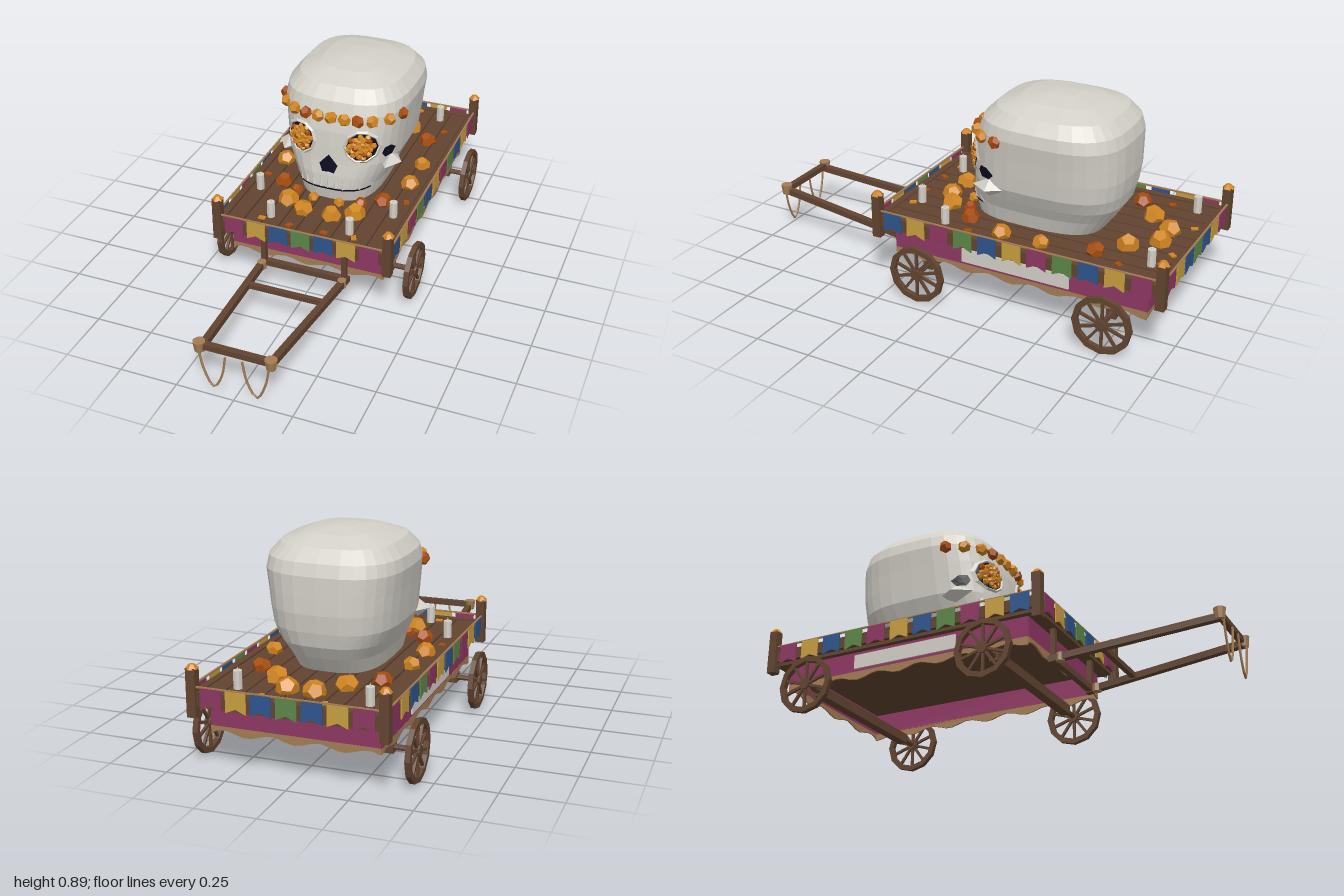
import * as THREE from 'three';

const mat = (name, color) => Object.assign(new THREE.MeshStandardMaterial({ color }), { name });
const wood = mat('wood', 0x624430), tan = mat('tan', 0xa37c53), bone = mat('bone', 0xd3d0c7);
const magenta = mat('magenta', 0x8f3763), blue = mat('blue', 0x2d558e), green = mat('green', 0x5c8748);
const gold = mat('gold', 0xc89f40), orange = mat('orange', 0xd0851f), rust = mat('rust', 0xa94d10);
const navy = mat('navy', 0x0b0b20);

// Faceted mesh added to a parent
function add(parent, name, geo, material, x = 0, y = 0, z = 0) {
  const g = geo.index ? geo.toNonIndexed() : geo;
  g.computeVertexNormals();
  const m = new THREE.Mesh(g, material);
  m.name = name;
  m.position.set(x, y, z);
  parent.add(m);
  return m;
}
const box = (p, name, m, w, h, d, x, y, z) => add(p, name, new THREE.BoxGeometry(w, h, d), m, x, y, z);

// Square beam between two points
function beam(p, name, m, a, b, t) {
  const A = new THREE.Vector3(...a), B = new THREE.Vector3(...b);
  const o = add(p, name, new THREE.BoxGeometry(t, t, A.distanceTo(B)), m);
  o.position.copy(A).add(B).multiplyScalar(0.5);
  o.lookAt(B);
  return o;
}
const shapeOf = pts => new THREE.Shape(pts.map(q => new THREE.Vector2(...q)));
const plate = (pts, depth = 0.005) =>
  new THREE.ExtrudeGeometry(shapeOf(pts), { depth, bevelEnabled: false });

// Skull sections: height, half width, front z, back z
const rows = [
  [0.33, 0.18, -0.015, -0.58], [0.4, 0.2, 0, -0.63], [0.455, 0.228, -0.003, -0.665],
  [0.515, 0.256, -0.012, -0.68], [0.59, 0.265, -0.018, -0.69], [0.66, 0.273, -0.025, -0.69],
  [0.74, 0.284, -0.042, -0.688], [0.79, 0.275, -0.06, -0.672], [0.84, 0.232, -0.11, -0.625],
  [0.873, 0.145, -0.2, -0.53], [0.888, 0.05, -0.31, -0.43]];
const POW = 3;

// Front surface depth of the skull at a given x and y
function skullZ(x, y) {
  let i = 0;
  while (i < rows.length - 2 && rows[i + 1][0] < y) i++;
  const t = Math.max(0, (y - rows[i][0]) / (rows[i + 1][0] - rows[i][0]));
  const [w, f, b] = [1, 2, 3].map(k => rows[i][k] + (rows[i + 1][k] - rows[i][k]) * t);
  const r = Math.min(1, Math.abs(x) / w);
  return (f + b) / 2 + (f - b) / 2 * Math.pow(1 - r ** POW, 1 / POW);
}
// Lays a geometry onto the face of the skull
function conform(geo, x, y, lift = 0.004) {
  geo.translate(x, y, 0);
  const p = geo.attributes.position;
  for (let i = 0; i < p.count; i++) p.setZ(i, p.getZ(i) + skullZ(p.getX(i), p.getY(i)) + lift);
  return geo;
}

function skullGeometry() {
  const N = 32, pos = [], idx = [];
  const pw = v => Math.sign(v) * Math.abs(v) ** (2 / POW);
  for (const [y, w, f, b] of rows)
    for (let j = 0; j < N; j++) {
      const a = j / N * Math.PI * 2;
      pos.push(w * pw(Math.cos(a)), y, (f + b) / 2 + (f - b) / 2 * pw(Math.sin(a)));
    }
  for (let i = 0; i < rows.length - 1; i++)
    for (let j = 0; j < N; j++) {
      const k = (j + 1) % N, a = i * N + j, b = i * N + k;
      idx.push(a, a + N, b, b, a + N, b + N);
    }
  const last = (rows.length - 1) * N, c = rows.length * N;
  pos.push(0, 0.33, -0.3, 0, 0.89, -0.37);
  for (let j = 0; j < N; j++) {
    const k = (j + 1) % N;
    idx.push(c, j, k, c + 1, last + k, last + j);
  }
  const g = new THREE.BufferGeometry();
  g.setAttribute('position', new THREE.Float32BufferAttribute(pos, 3));
  g.setIndex(idx);
  return g;
}

function flower(p, name, m, r, x, y, z, n) {
  const f = add(p, name, new THREE.DodecahedronGeometry(r), m, x, y, z);
  f.rotation.set(n * 1.3, n * 2.1, n * 0.7);
  return f;
}

function buildSkull() {
  const s = new THREE.Group();
  s.name = 'skull';
  add(s, 'cranium', skullGeometry(), bone);
  for (const k of [-1, 1]) {
    // Eye sockets filled with small blossoms
    add(s, 'eyeSocket', conform(new THREE.RingGeometry(0.001, 0.068, 10, 4), k * 0.14, 0.607), navy);
    add(s, 'eyeRim', conform(new THREE.TorusGeometry(0.07, 0.008, 4, 10), k * 0.14, 0.607, 0.002), bone);
    for (let i = 0; i < 26; i++) {
      const r = 0.0108 * Math.sqrt(i), a = i * 2.4;
      const x = k * 0.137 + r * Math.cos(a), y = 0.607 + r * Math.sin(a);
      flower(s, 'eyeBlossom', i % 6 === 4 ? rust : orange, 0.015, x, y, skullZ(x, y) + 0.012 - r * 0.2, i);
    }
    // Cheekbone and temple hollow
    add(s, 'cheekbone', new THREE.OctahedronGeometry(1).scale(0.05, 0.04, 0.08), bone, k * 0.235, 0.505, -0.15);
    add(s, 'templeHollow', conform(new THREE.RingGeometry(0.001, 0.028, 6, 2).scale(0.6, 1, 1), k * 0.232, 0.565), navy);
  }
  const nose = new THREE.ShapeGeometry(shapeOf([[0, 0.557], [-0.042, 0.51], [-0.027, 0.472], [0, 0.477], [0.027, 0.472], [0.042, 0.51]]));
  add(s, 'nose', conform(nose, 0, 0, 0.006), navy);
  add(s, 'mouth', conform(new THREE.PlaneGeometry(0.34, 0.009, 16, 1), 0, 0.394, 0.006), navy);
  // Tooth ridges
  for (let i = 0; i < 11; i++) {
    const x = (i - 5) * 0.034;
    add(s, 'toothRidge', conform(new THREE.ConeGeometry(0.008, 0.055 + (i % 2) * 0.01, 4), x, 0.427, 0), bone);
  }
  // Flower crown
  [-0.268, -0.235, -0.177, -0.118, -0.06, 0, 0.06, 0.118, 0.177, 0.235, 0.268].forEach((x, i) =>
    flower(s, 'crownFlower', [0, 3, 7, 10].includes(i) ? rust : orange, 0.029, x, 0.725, skullZ(x, 0.725) + 0.005, i));
  return s;
}

function buildWheel(x, z) {
  const w = new THREE.Group();
  w.name = 'wheel';
  const v = (a, b) => new THREE.Vector2(a, b);
  const ring = (ri, ro, h) => new THREE.LatheGeometry([v(ri, -h), v(ro, -h), v(ro, h), v(ri, h), v(ri, -h)], 12);
  add(w, 'rim', ring(0.104, 0.127, 0.011), wood);
  add(w, 'hub', new THREE.CylinderGeometry(0.024, 0.024, 0.028, 10), wood);
  for (let i = 0; i < 10; i++) {
    const a = i * Math.PI / 5;
    beam(w, 'spoke', wood, [0, 0, 0], [0.11 * Math.cos(a), 0, 0.11 * Math.sin(a)], 0.011);
  }
  w.rotation.z = Math.PI / 2;
  w.position.set(x, 0.127, z);
  return w;
}

// One side of the cart: skirt, wavy trim and bunting, facing +z
function buildSide(len, flagLen, colors, skirtOff, flagOff) {
  const s = new THREE.Group();
  s.name = 'sideDrapery';
  box(s, 'skirt', magenta, len, 0.11, 0.006, 0, 0.23, skirtOff);
  const n = Math.round(len / 0.035), pts = [[len / 2, 0.182], [-len / 2, 0.182]];
  for (let i = 0; i <= n; i++) pts.push([-len / 2 + len * i / n, 0.156 + 0.011 * Math.sin(i * 1.1)]);
  add(s, 'skirtTrim', plate(pts, 0.007), tan, 0, 0, skirtOff - 0.003);
  const pitch = flagLen / (colors.length - 1);
  colors.forEach((m, i) => add(s, 'flag',
    plate([[-0.042, 0.356], [-0.042, 0.27], [0, 0.288], [0.042, 0.27], [0.042, 0.356]]),
    m, -flagLen / 2 + i * pitch, 0, flagOff));
  box(s, 'buntingCord', tan, flagLen + 0.12, 0.006, 0.008, 0, 0.357, flagOff);
  return s;
}

function buildTow() {
  const t = new THREE.Group();
  t.name = 'towBar';
  for (const k of [-1, 1]) {
    beam(t, 'shaft', wood, [k * 0.19, 0.135, 0.26], [k * 0.145, 0.197, 0.97], 0.028);
    box(t, 'upright', wood, 0.022, 0.14, 0.022, k * 0.185, 0.205, 0.28);
    add(t, 'shaftKnob', new THREE.CylinderGeometry(0.026, 0.02, 0.045, 8), tan, k * 0.152, 0.207, 0.97);
    add(t, 'shaftCollar', new THREE.CylinderGeometry(0.02, 0.02, 0.034, 8), tan, k * 0.185, 0.14, 0.31);
    // Harness rope loop
    const c = new THREE.CatmullRomCurve3([[0.15, 0.2], [0.13, 0.1], [0.092, 0.028], [0.055, 0.09], [0.035, 0.195]]
      .map(([x, y]) => new THREE.Vector3(k * x, y, 0.982)));
    add(t, 'harnessRope', new THREE.TubeGeometry(c, 14, 0.005, 5), tan);
  }
  beam(t, 'frontCrossbar', wood, [-0.16, 0.21, 0.965], [0.16, 0.21, 0.965], 0.026);
  beam(t, 'middleCrossbar', wood, [-0.17, 0.157, 0.485], [0.17, 0.157, 0.485], 0.022);
  beam(t, 'rearCrossbar', wood, [-0.2, 0.14, 0.28], [0.2, 0.14, 0.28], 0.026);
  return t;
}

export function createModel() {
  const model = new THREE.Group();
  model.name = 'paradeCart';
  const cz = -0.332;
  // Deck, planks and rim
  box(model, 'deck', wood, 0.745, 0.05, 1.27, 0, 0.295, cz);
  for (let i = -4; i <= 4; i++) box(model, 'plank', wood, 0.072, 0.012, 1.24, i * 0.08, 0.325, cz);
  for (const k of [-1, 1]) {
    box(model, 'sideRim', wood, 0.03, 0.05, 1.3, k * 0.375, 0.31, cz);
    box(model, 'endRim', wood, 0.74, 0.05, 0.03, 0, 0.31, cz + k * 0.63);
    // Corner posts with flower caps
    for (const z of [0.307, -0.974]) {
      box(model, 'post', wood, 0.038, 0.195, 0.038, k * 0.385, 0.333, z);
      add(model, 'postCap', new THREE.CylinderGeometry(0.012, 0.027, 0.018, 6), orange, k * 0.385, 0.436, z);
    }
    // Wheels and side panels
    for (const z of [0.09, -0.755]) model.add(buildWheel(k * 0.435, z));
    box(model, 'sidePanel', bone, 0.006, 0.062, 0.49, k * 0.351, 0.225, -0.327);
  }
  for (const z of [0.09, -0.755]) {
    box(model, 'axleBeam', wood, 0.69, 0.042, 0.042, 0, 0.129, z);
    add(model, 'axle', new THREE.CylinderGeometry(0.012, 0.012, 0.87, 8).rotateZ(Math.PI / 2), wood, 0, 0.129, z);
  }

  // Drapery on all four sides
  const endFlags = [magenta, gold, blue, green, blue, gold, magenta];
  const longFlags = [blue, gold, magenta, green, blue, gold, magenta, green, blue, gold, magenta];
  for (let i = 0; i < 4; i++) {
    const long = i % 2 === 1;
    const colors = !long ? endFlags : i === 1 ? longFlags : [...longFlags].reverse();
    const side = long ? buildSide(1.15, 1.125, colors, 0.345, 0.39) : buildSide(0.69, 0.612, colors, 0.575, 0.648);
    side.rotation.y = i * Math.PI / 2;
    side.position.z = cz;
    model.add(side);
  }

  model.add(buildSkull(), buildTow());

  // Flowers round the skull, mirrored left and right: x, z, radius, dark
  const ring = [[0.055, -0.84, 0.052], [0.145, -0.735, 0.052], [0.255, -0.64, 0.043, 1], [0.3, -0.42, 0.04],
    [0.3, -0.24, 0.045], [0.235, -0.06, 0.043, 1], [0.155, 0.075, 0.052], [0.065, 0.125, 0.048],
    [0.15, -0.01, 0.03, 1], [0.06, 0.02, 0.026]];
  ring.forEach(([x, z, r, dark], i) => [-1, 1].forEach(k => {
    flower(model, 'deckFlower', dark ? rust : orange, r, k * x, 0.343, z, i + k * 0.4).scale.setScalar(0.92);
  }));
  // Loose petals
  [[0.3, -0.76], [0.21, 0.24], [0.08, 0.25], [0.13, -0.92], [0.33, -0.1]].forEach(([x, z], i) => [-1, 1].forEach(k => {
    const p = box(model, 'petal', i % 2 ? orange : rust, 0.03, 0.006, 0.022, k * x, 0.334, z);
    p.rotation.y = i + k;
  }));
  // Candles
  for (const [x, z] of [[-0.29, -0.875], [0.245, -0.875], [-0.315, 0.02], [0.31, 0.02], [-0.18, 0.21], [0.18, 0.21]]) {
    add(model, 'candle', new THREE.CylinderGeometry(0.018, 0.018, 0.075, 8), bone, x, 0.367, z);
    add(model, 'wick', new THREE.ConeGeometry(0.006, 0.016, 5), bone, x, 0.411, z);
  }
  return model;
}
